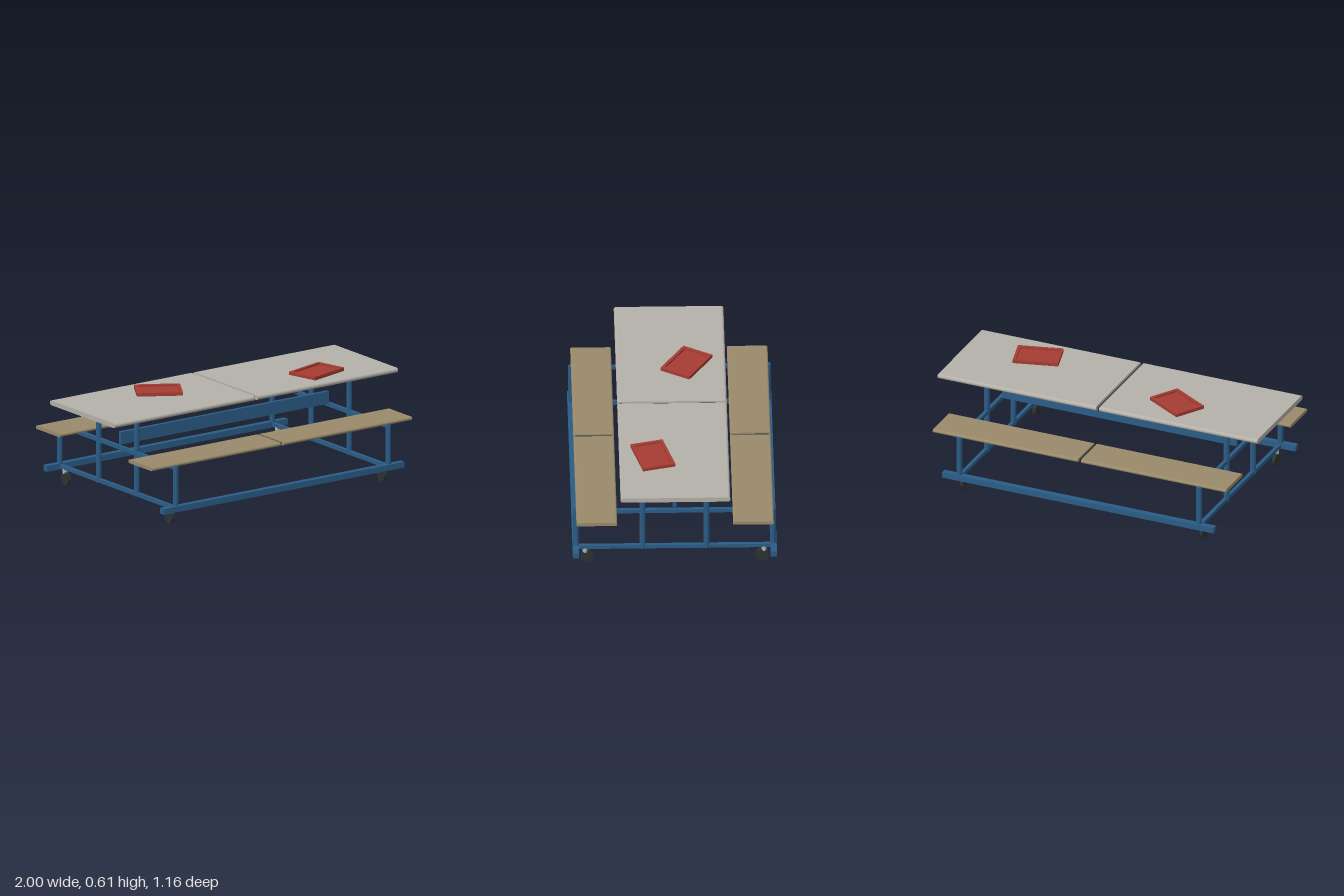
import * as THREE from 'three';

const mat = (name, color) => {
  const m = new THREE.MeshStandardMaterial({ color });
  m.name = name;
  return m;
};

export function createModel() {
  const root = new THREE.Group();
  root.name = 'foldingLunchTable';
  const blue = mat('blueSteel', 0x2a5d87);
  const grey = mat('greyLaminate', 0xb5b1aa);
  const tan = mat('tanBench', 0x9a8a6b);
  const black = mat('blackRubber', 0x2c3332);
  const red = mat('redTray', 0xa63c32);
  const steel = mat('casterSteel', 0xb4b4b0);
  for (const m of [blue, black]) m.flatShading = true;

  const add = (name, geo, material, x, y, z, parent = root) => {
    const mesh = new THREE.Mesh(geo, material);
    mesh.name = name;
    mesh.position.set(x, y, z);
    parent.add(mesh);
    return mesh;
  };
  // Box given by its limits on each axis
  const box = (name, material, x0, x1, y0, y1, z0, z1, parent) =>
    add(name, new THREE.BoxGeometry(x1 - x0, y1 - y0, z1 - z0), material,
      (x0 + x1) / 2, (y0 + y1) / 2, (z0 + z1) / 2, parent);

  // Board along x whose two long edges are fully rounded
  const board = (name, material, x0, x1, y0, y1, z0, z1) => {
    const r = (y1 - y0) / 2, half = (z1 - z0) / 2 - r;
    const s = new THREE.Shape();
    s.moveTo(-half, -r);
    s.lineTo(half, -r);
    s.absarc(half, 0, r, -Math.PI / 2, Math.PI / 2, false);
    s.lineTo(-half, r);
    s.absarc(-half, 0, r, Math.PI / 2, Math.PI * 1.5, false);
    const g = new THREE.ExtrudeGeometry(s, { depth: x1 - x0, bevelEnabled: false, curveSegments: 8 });
    g.rotateY(Math.PI / 2);
    add(name, g, material, x0, (y0 + y1) / 2, (z0 + z1) / 2);
  };

  const post = (name, x, z, y0, y1) =>
    add(name, new THREE.CylinderGeometry(0.017, 0.017, y1 - y0, 10), blue, x, (y0 + y1) / 2, z);

  // Table halves and bench halves
  for (const s of [-1, 1]) {
    const [t0, t1] = s < 0 ? [-1, -0.01] : [0.01, 1];
    const [b0, b1] = s < 0 ? [-0.917, -0.01] : [0.01, 0.917];
    board('tabletop', grey, t0, t1, 0.558, 0.586, -0.313, 0.313);
    board('benchBack', tan, b0, b1, 0.346, 0.367, -0.563, -0.33);
    board('benchFront', tan, b0, b1, 0.346, 0.367, 0.33, 0.563);
  }

  // Fold hinges
  box('tableHinge', black, -0.004, 0.004, 0.552, 0.578, -0.295, 0.295);
  box('tableHingeBlock', black, -0.012, 0.012, 0.534, 0.558, -0.2, 0.2);
  for (const s of [-1, 1])
    add('benchHinge', new THREE.BoxGeometry(0.008, 0.022, 0.21), black, 0, 0.352, s * 0.446);

  // Long rails
  box('centreBeam', blue, -0.735, 0.735, 0.352, 0.425, -0.011, 0.011);
  for (const s of [-1, 1]) {
    add('topRail', new THREE.BoxGeometry(1.7, 0.032, 0.046), blue, 0, 0.543, s * 0.183);
    add('baseRail', new THREE.BoxGeometry(1.7, 0.034, 0.036), blue, 0, 0.1, s * 0.564);
    for (const x of [-0.35, 0.35])
      add('foldBracket', new THREE.BoxGeometry(0.022, 0.038, 0.056), black, x, 0.539, s * 0.183);
  }

  // End frames with casters
  for (const x of [-0.75, 0.75]) {
    box('upperCrossbar', blue, x - 0.011, x + 0.011, 0.33, 0.352, -0.56, 0.56);
    box('lowerCrossbar', blue, x - 0.011, x + 0.011, 0.09, 0.112, -0.56, 0.56);
    for (const s of [-1, 1]) {
      post('tablePost', x, s * 0.183, 0.09, 0.556);
      post('benchPost', x, s * 0.561, 0.1, 0.353);
      const caster = new THREE.Group();
      caster.name = 'caster';
      caster.position.set(x, 0, s * 0.5);
      root.add(caster);
      add('wheel', new THREE.CylinderGeometry(0.037, 0.037, 0.02, 12).rotateZ(Math.PI / 2),
        black, 0, 0.037, 0, caster);
      add('casterStem', new THREE.CylinderGeometry(0.014, 0.014, 0.028, 10), steel, 0, 0.08, s * 0.01, caster);
    }
  }

  // Serving trays: shallow floor inside a raised rim
  const tray = (x, z, turn) => {
    const g = new THREE.Group();
    g.name = 'tray';
    g.position.set(x, 0.586, z);
    g.rotation.y = turn;
    root.add(g);
    const w = 0.264, d = 0.19, t = 0.018;
    box('trayFloor', red, -w / 2 + t, w / 2 - t, 0, 0.009, -d / 2 + t, d / 2 - t, g);
    for (const s of [-1, 1]) {
      add('trayLongRim', new THREE.BoxGeometry(w, 0.02, t), red, 0, 0.01, s * (d - t) / 2, g);
      add('trayShortRim', new THREE.BoxGeometry(t, 0.02, d - 2 * t), red, s * (w - t) / 2, 0.01, 0, g);
    }
  };
  tray(-0.397, -0.09, -0.54);
  tray(0.567, 0.12, 0.26);

  return root;
}
